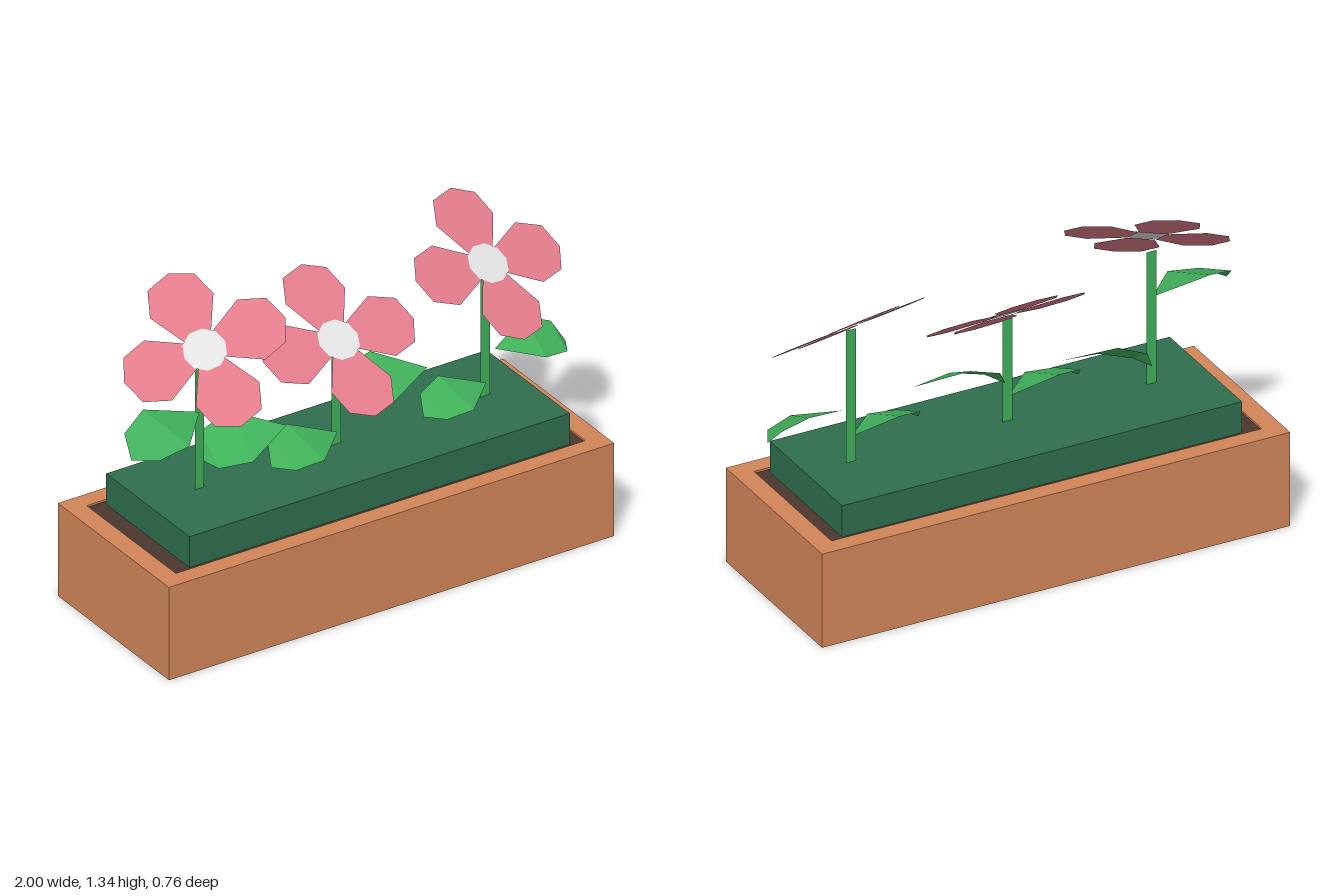
import * as THREE from 'three';

const mat = (name, color, extra = {}) => {
  const m = new THREE.MeshStandardMaterial({ color, ...extra });
  m.name = name;
  return m;
};

export function createModel() {
  const open = { side: THREE.DoubleSide, flatShading: true };
  const clay = mat('terracotta', 0xd28659);
  const earth = mat('dark soil', 0x4b372f);
  const hedge = mat('deep green', 0x2f6e4f);
  const green = mat('leaf green', 0x40b05a, open);
  const pink = mat('petal pink', 0xe27c8b, open);
  const pale = mat('pale grey', 0xe2e2e2, open);

  const model = new THREE.Group();
  model.name = 'flowerPlanter';
  const add = (parent, name, geometry, material, x = 0, y = 0, z = 0) => {
    const mesh = new THREE.Mesh(geometry, material);
    mesh.name = name;
    mesh.position.set(x, y, z);
    parent.add(mesh);
    return mesh;
  };
  const box = (name, material, x, y0, y1, w, d) =>
    add(model, name, new THREE.BoxGeometry(w, y1 - y0, d), material, x, (y0 + y1) / 2, 0);

  // Planter: solid base with an open rim holding the soil
  const rect = (Type, w, d) => new Type([[-w, -d], [w, -d], [w, d], [-w, d]].map(([x, y]) => new THREE.Vector2(x, y)));
  box('planterBase', clay, -0.005, 0, 0.36, 1.99, 0.76);
  const rimShape = rect(THREE.Shape, 0.995, 0.38);
  rimShape.holes.push(rect(THREE.Path, 0.915, 0.305));
  const rim = add(model, 'planterRim', new THREE.ExtrudeGeometry(rimShape, { depth: 0.04, bevelEnabled: false }), clay, -0.005, 0.36, 0);
  rim.rotation.x = -Math.PI / 2;
  box('soil', earth, -0.005, 0.35, 0.392, 1.83, 0.61);
  box('greenBed', hedge, 0.004, 0.38, 0.525, 1.7, 0.57);

  // Flowers: four flat petals around a disc, facing up and forward
  const petalShape = new THREE.Shape([[-0.055, 0.058], [0.055, 0.058], [0.13, 0.19], [0.1, 0.29],
    [0.01, 0.332], [-0.09, 0.302], [-0.13, 0.2]].map(([x, y]) => new THREE.Vector2(x, y)));
  const petalGeo = new THREE.ShapeGeometry(petalShape);
  const discGeo = new THREE.CircleGeometry(0.085, 10);
  const flowers = [
    { stem: -0.615, top: 1.09, at: [-0.615, 1.138, 0.035], roll: -0.3 },
    { stem: -0.003, top: 0.96, at: [0, 0.975, 0.008], roll: 0 },
    { stem: 0.663, top: 1.09, at: [0.668, 1.096, 0.008], roll: 0.105 },
  ];
  for (const f of flowers) {
    const h = f.top - 0.52;
    add(model, 'stem', new THREE.PlaneGeometry(0.042, h), green, f.stem, 0.52 + h / 2, 0);
    const head = new THREE.Group();
    head.name = 'flowerHead';
    head.position.set(...f.at);
    head.rotation.set(-0.937, f.roll, 0);
    for (let i = 0; i < 4; i++) add(head, 'petal', petalGeo, pink).rotation.z = i * Math.PI / 2;
    add(head, 'flowerCentre', discGeo, pale, 0, 0, 0.004);
    model.add(head);
  }

  // Leaves: a folded blade, widening from the root and drooping at the tip
  const leafGeo = new THREE.BufferGeometry();
  leafGeo.setAttribute('position', new THREE.Float32BufferAttribute([
    0, 0, 0,
    0.2, 0.022, 0.12, 0.2, 0.022, -0.12,
    0.33, -0.01, 0.09, 0.33, -0.01, -0.09,
    0.375, -0.055, 0,
  ], 3));
  leafGeo.setIndex([0, 1, 2, 1, 3, 2, 2, 3, 4, 3, 5, 4]);
  leafGeo.computeVertexNormals();
  // root position, yaw, roll, pitch, size
  const leaves = [
    [[-0.635, 0.875, 0.03], Math.PI + 0.29, -0.31, 0, 1],
    [[-0.25, 0.7, 0.035], Math.PI - 0.1, -0.57, -0.1, 0.95],
    [[-0.025, 0.603, 0.04], Math.PI + 0.2, -0.35, 0.08, 0.9],
    [[0.38, 0.752, 0.035], Math.PI - 0.1, -0.5, 0, 0.97],
    [[0.64, 0.607, 0.04], Math.PI + 0.2, -0.35, 0.07, 0.85],
    [[0.685, 0.735, 0.03], -0.1, 0.42, -0.06, 0.84],
  ];
  for (const [at, yaw, roll, pitch, size] of leaves) {
    const leaf = add(model, 'leaf', leafGeo, green, ...at);
    leaf.rotation.set(roll, yaw, pitch, 'YXZ');
    leaf.scale.setScalar(size);
  }
  return model;
}
